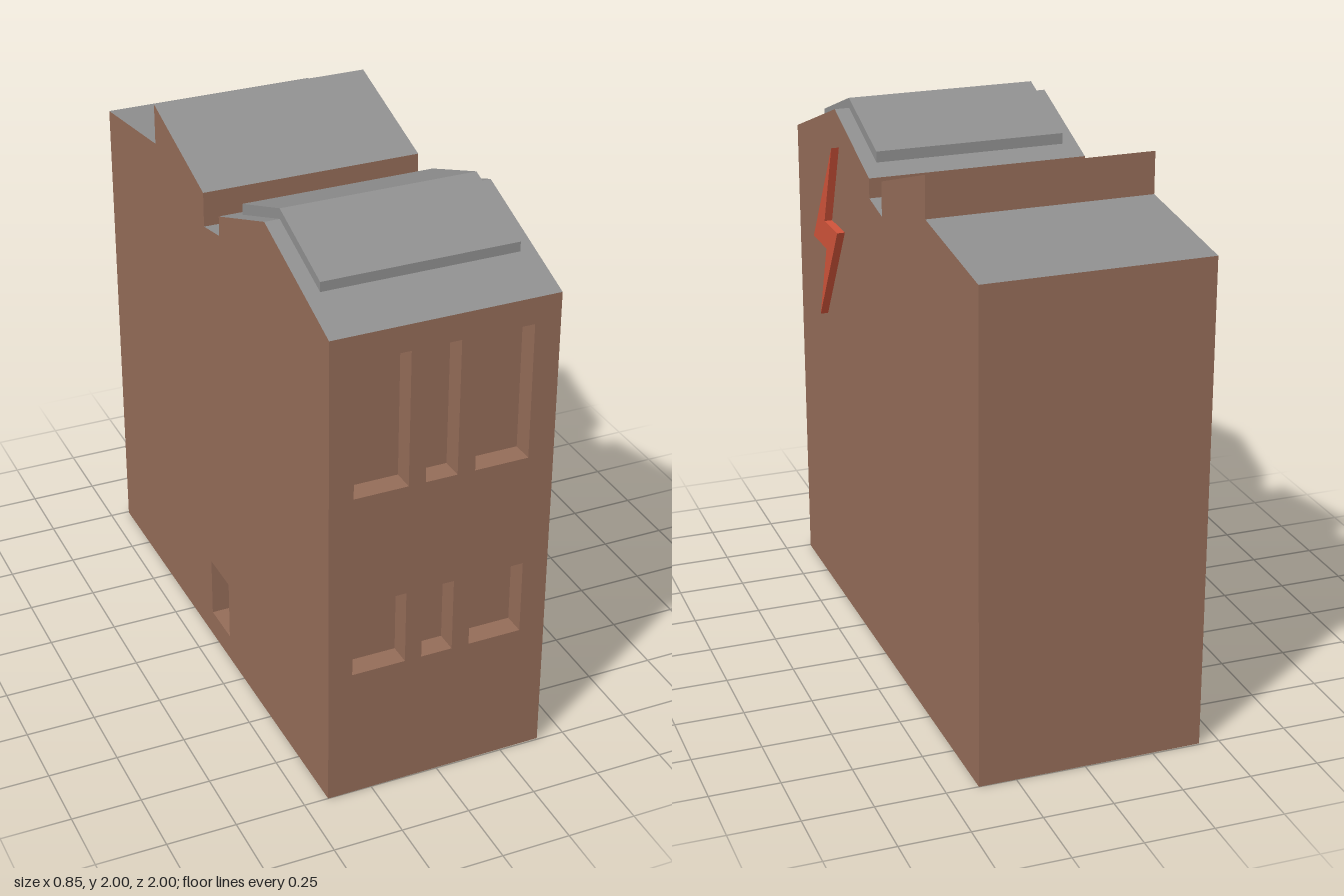
import * as THREE from 'three';

const mat = (color) => new THREE.MeshStandardMaterial({ color, side: THREE.DoubleSide, flatShading: true });
const shapeOf = (pts) => new THREE.Shape(pts.map(([x, y]) => new THREE.Vector2(x, y)));
const rect = (x0, x1, y0, y1) => [[x0, y0], [x1, y0], [x1, y1], [x0, y1]];

export function createModel() {
  const model = new THREE.Group();
  model.name = 'building';
  const brick = mat(0x946c58), slate = mat(0x8f8f8f), red = mat(0xd0533a);
  const W = 0.406, L = 0.997; // half width and half length

  const add = (name, geometry, material, parent = model) => {
    const mesh = new THREE.Mesh(geometry, material);
    mesh.name = name;
    parent.add(mesh);
    return mesh;
  };

  // Flat wall with rectangular openings
  const wall = (outline, openings = []) => {
    const shape = shapeOf(outline);
    openings.forEach((o) => shape.holes.push(shapeOf(rect(...o))));
    return new THREE.ShapeGeometry(shape);
  };

  // Box behind an opening in a wall facing +z, with its front face left out
  const recess = ([x0, x1, y0, y1], depth) => {
    const g = new THREE.BoxGeometry(x1 - x0, y1 - y0, depth);
    const index = Array.from(g.index.array);
    index.splice(24, 6);
    g.setIndex(index);
    return g.translate((x0 + x1) / 2, (y0 + y1) / 2, -depth / 2);
  };

  // Roof line from front to back, as z and y
  const roofLine = [
    [L, 1.775], [0.495, 1.96], [0.1, 1.81], [0.1, 1.738], [-0.04, 1.712],
    [-0.04, 1.838], [-0.5, 1.988], [-0.5, 1.838], [-L, 1.775],
  ];
  const sideOutline = [[L, 0], ...roofLine, [-L, 0]];

  // Side walls, with a small vent on the -x side
  const vent = [-0.06, 0.11, 0.1, 0.33];
  add('leftWall', wall(sideOutline.map(([z, y]) => [-z, y])).rotateY(Math.PI / 2).translate(W, 0, 0), brick);
  add('rightWall', wall(sideOutline, [vent]).rotateY(-Math.PI / 2).translate(-W, 0, 0), brick);
  add('ventRecess', recess(vent, 0.143).rotateY(-Math.PI / 2).translate(-W, 0, 0), brick);

  // Front wall with two rows of windows, and plain back wall
  const windows = [];
  for (const [y0, y1] of [[0.495, 0.77], [1.185, 1.68]])
    for (const [x0, x1] of [[-0.319, -0.124], [-0.063, 0.052], [0.116, 0.312]]) windows.push([x0, x1, y0, y1]);
  add('frontWall', wall(rect(-W, W, 0, 1.775), windows).translate(0, 0, L), brick);
  windows.forEach((w) => add('windowRecess', recess(w, 0.08).translate(0, 0, L), brick));
  add('backWall', wall(rect(-W, W, 0, 1.775)).rotateY(Math.PI).translate(0, 0, -L), brick);

  // Roof: sloping panels in slate, upright steps in brick
  for (let i = 0; i < roofLine.length - 1; i++) {
    const [z0, y0] = roofLine[i], [z1, y1] = roofLine[i + 1];
    const upright = z0 === z1;
    const g = new THREE.PlaneGeometry(2 * W, Math.hypot(z1 - z0, y1 - y0));
    g.rotateX(-Math.atan2(z0 - z1, y1 - y0)).translate(0, (y0 + y1) / 2, (z0 + z1) / 2);
    add(upright ? 'roofStep' : 'roofPanel', g, upright ? brick : slate);
  }

  // Raised slab folded over the front ridge
  const slab = shapeOf([
    [-0.81, 1.845], [-0.81, 1.88], [-0.495, 1.997], [-0.18, 1.88], [-0.18, 1.84], [-0.495, 1.96],
  ]);
  add('ridgeSlab', new THREE.ExtrudeGeometry(slab, { depth: 0.704, bevelEnabled: false })
    .rotateY(Math.PI / 2).translate(-0.352, 0, 0), slate);

  // Lightning bolt sign
  const bolt = shapeOf([
    [-0.455, 1.828], [-0.715, 1.42], [-0.55, 1.42], [-0.65, 1.13], [-0.405, 1.522], [-0.565, 1.522],
  ]);
  add('boltSign', new THREE.ExtrudeGeometry(bolt, { depth: 0.029, bevelEnabled: false })
    .rotateY(Math.PI / 2).translate(W, 0, 0), red);

  // The building sits slightly turned
  model.rotation.y = 0.008;
  model.position.x = -0.0137;
  return model;
}
